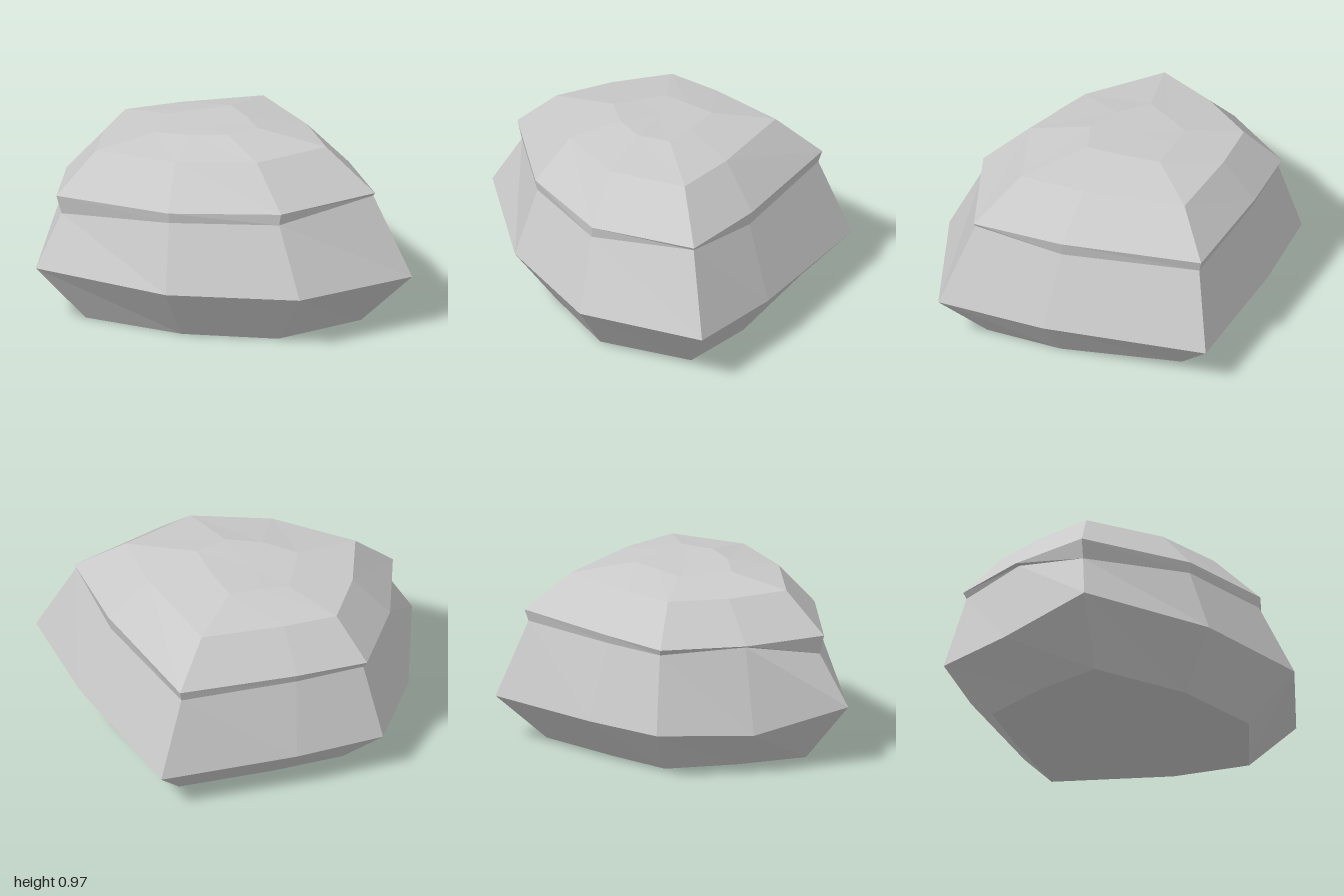
import * as THREE from 'three';

// Cross-sections of the boulder: nine [x, y, z] corners each, running back, left, front, right
const foot = [[-0.05, 0, -0.62], [0.45, 0, -0.23], [0.71, 0, 0.09], [0.44, 0, 0.52], [-0.04, 0, 0.67],
  [-0.59, 0, 0.67], [-0.7, 0, 0.3], [-0.75, 0, -0.08], [-0.46, 0, -0.32]];
const belly = [[-0.05, 0.23, -0.885], [0.61, 0.255, -0.33], [1, 0.285, 0.085], [0.63, 0.29, 0.66], [-0.03, 0.29, 0.885],
  [-0.78, 0.31, 0.87], [-0.95, 0.215, 0.36], [-1, 0.24, -0.15], [-0.64, 0.235, -0.46]];
const neck = [[-0.1, 0.64, -0.72], [0.46, 0.635, -0.26], [0.78, 0.7, 0.09], [0.47, 0.65, 0.57], [-0.07, 0.64, 0.76],
  [-0.7, 0.58, 0.73], [-0.84, 0.66, 0.33], [-0.88, 0.64, -0.12], [-0.6, 0.64, -0.36]];
const lip = [[-0.1, 0.7, -0.74], [0.47, 0.71, -0.27], [0.79, 0.715, 0.09], [0.48, 0.71, 0.57], [-0.07, 0.695, 0.77],
  [-0.72, 0.68, 0.75], [-0.86, 0.67, 0.33], [-0.9, 0.67, -0.12], [-0.61, 0.685, -0.37]];
const shoulder = [[-0.13, 0.9, -0.5], [0.28, 0.92, -0.17], [0.51, 0.925, 0.09], [0.28, 0.92, 0.44], [-0.12, 0.905, 0.58],
  [-0.58, 0.89, 0.57], [-0.68, 0.88, 0.26], [-0.71, 0.88, -0.06], [-0.49, 0.89, -0.25]];
const crown = [[-0.16, 0.955, -0.17], [0, 0.965, -0.03], [0.12, 0.97, 0.1], [0.02, 0.967, 0.25], [-0.16, 0.955, 0.31],
  [-0.36, 0.94, 0.31], [-0.39, 0.937, 0.17], [-0.41, 0.935, 0.03], [-0.3, 0.945, -0.06]];

const centre = (ring) => [0, 1, 2].map((k) => ring.reduce((sum, p) => sum + p[k], 0) / ring.length);

// Joins rings from bottom to top, optionally closing the ends with a fan
function loft(rings, closeBottom, closeTop) {
  const pos = [];
  const tri = (a, b, c) => pos.push(...a, ...b, ...c);
  const n = rings[0].length;
  for (let r = 0; r < rings.length - 1; r++) {
    const lo = rings[r], hi = rings[r + 1];
    for (let i = 0; i < n; i++) {
      const j = (i + 1) % n;
      tri(lo[i], hi[i], hi[j]);
      tri(lo[i], hi[j], lo[j]);
    }
  }
  const bottom = rings[0], top = rings[rings.length - 1];
  for (let i = 0; i < n; i++) {
    const j = (i + 1) % n;
    if (closeBottom) tri(centre(bottom), bottom[i], bottom[j]);
    if (closeTop) tri(centre(top), top[j], top[i]);
  }
  // Unshared corners give flat facets
  const geometry = new THREE.BufferGeometry();
  geometry.setAttribute('position', new THREE.Float32BufferAttribute(pos, 3));
  geometry.computeVertexNormals();
  return geometry;
}

export function createModel() {
  const group = new THREE.Group();
  group.name = 'boulder';
  const stone = new THREE.MeshStandardMaterial({ color: 0xcacaca });
  stone.name = 'light grey stone';

  const add = (name, geometry) => {
    const mesh = new THREE.Mesh(geometry, stone);
    mesh.name = name;
    group.add(mesh);
  };
  // Wide lower rock, then the overhanging upper layer
  add('lowerRock', loft([foot, belly, neck], true, false));
  add('upperLayer', loft([neck, lip, shoulder, crown], false, true));
  return group;
}
